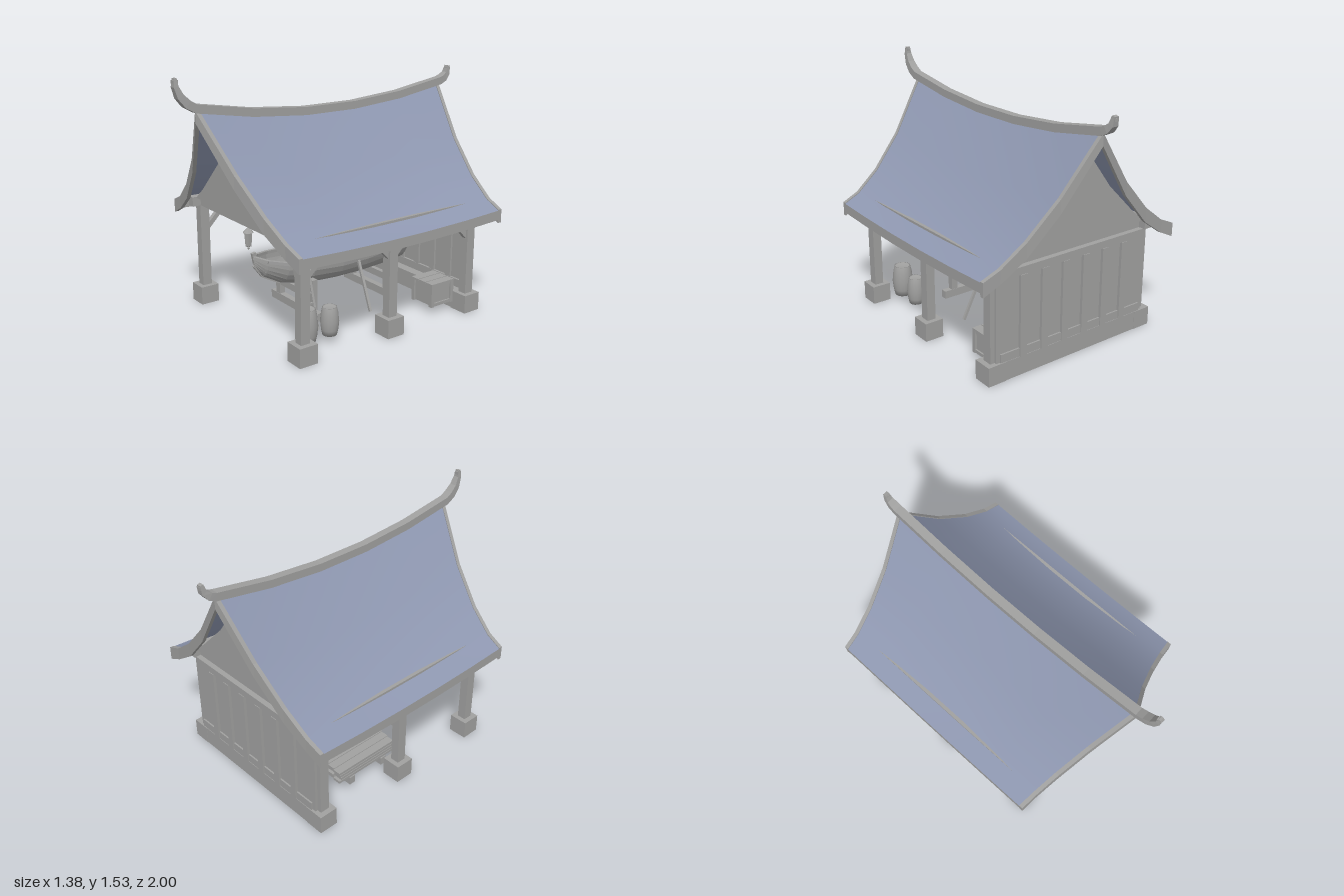
import * as THREE from 'three';

const grey = new THREE.MeshStandardMaterial({ color: 0xa0a09f, side: THREE.DoubleSide });
grey.name = 'weathered timber grey';
const blue = new THREE.MeshStandardMaterial({ color: 0x8e97b0, side: THREE.DoubleSide });
blue.name = 'slate blue';

// Roof rule: half profile at the gable ends, sagging towards the middle
const profile = [[0, 1.34], [0.235, 1.02], [0.43, 0.82], [0.585, 0.705], [0.69, 0.66]];
const frontZ = y => 0.68 + 0.19 * (y - 0.66) / 0.68;
const backZ = y => -0.81 - 0.10 * (y - 0.66) / 0.68;
const steps = [-1, -0.6, -0.2, 0.2, 0.6, 1];
function roofPoint([x, y], t, side = 1) {
  const sag = 0.02 + 0.07 * (y - 0.66) / 0.68;
  const z = THREE.MathUtils.lerp(backZ(y), frontZ(y), (t + 1) / 2);
  return [x * side, y - sag * (1 - t * t), z];
}

// Surface through rows of points, flat shaded unless smooth
function loft(rows, { closed = false, caps = false, smooth = false } = {}) {
  const n = rows[0].length, index = [];
  for (let i = 0; i < rows.length - 1; i++) {
    for (let j = 0; j < (closed ? n : n - 1); j++) {
      const a = i * n + j, b = i * n + (j + 1) % n;
      index.push(a, b, a + n, b, b + n, a + n);
    }
  }
  if (caps) {
    const e = (rows.length - 1) * n;
    for (let j = 1; j < n - 1; j++) index.push(0, j + 1, j, e, e + j, e + j + 1);
  }
  let g = new THREE.BufferGeometry();
  g.setAttribute('position', new THREE.Float32BufferAttribute(rows.flat(2), 3));
  g.setIndex(index);
  if (!smooth) g = g.toNonIndexed();
  g.computeVertexNormals();
  return g;
}

export function createModel() {
  const model = new THREE.Group();
  model.name = 'boathouse';
  const group = name => {
    const g = new THREE.Group();
    g.name = name;
    model.add(g);
    return g;
  };
  const add = (name, geo, parent = model, mat = grey) => {
    const m = new THREE.Mesh(geo, mat);
    m.name = name;
    parent.add(m);
    return m;
  };
  // Box given by its limits on each axis
  const box = (name, x0, x1, y0, y1, z0, z1, parent) => {
    const m = add(name, new THREE.BoxGeometry(x1 - x0, y1 - y0, z1 - z0), parent);
    m.position.set((x0 + x1) / 2, (y0 + y1) / 2, (z0 + z1) / 2);
    return m;
  };
  // Straight bar between two points
  const bar = (name, a, b, w, h, parent) => {
    const A = new THREE.Vector3(...a), B = new THREE.Vector3(...b);
    const m = add(name, new THREE.BoxGeometry(w, h, A.distanceTo(B)), parent);
    m.position.copy(A).add(B).multiplyScalar(0.5);
    m.lookAt(B);
    return m;
  };

  // Roof slopes, eave boards and bargeboards
  const roof = group('roof');
  const drops = [0.065, 0.08, 0.085, 0.075, 0.08];
  for (const s of [-1, 1]) {
    const rows = steps.map(t => profile.map(p => roofPoint(p, t, s)));
    add('roofSlope', loft(rows, { smooth: true }), roof, blue);
    const eave = steps.map(t => {
      const [x, y, z] = roofPoint(profile[4], t, s);
      return [[x, y, z], [x, y - 0.06, z], [x - 0.022 * s, y - 0.055, z], [x - 0.022 * s, y + 0.008, z]];
    });
    add('eaveBoard', loft(eave, { closed: true, caps: true }), roof);
    for (const t of [-1, 1]) {
      const barge = profile.map((p, i) => {
        const [x, y, z] = roofPoint(p, t, s), inner = z - 0.025 * t, low = y - drops[i];
        return [[x, y + 0.004, z], [x, low, z], [x, low, inner], [x, y + 0.004, inner]];
      });
      add('bargeboard', loft(barge, { closed: true, caps: true }), roof);
    }
  }

  // Ridge beam with upswept ends: z, y, half width, half height
  const middle = steps.slice().reverse().map(t => {
    const [, y, z] = roofPoint(profile[0], t);
    return [z, y + 0.018, 0.026, 0.024];
  });
  const ridge = [[0.983, 1.53, 0.012, 0.008], [0.983, 1.485, 0.018, 0.014], [0.96, 1.43, 0.023, 0.02],
    [0.92, 1.387, 0.026, 0.024], ...middle, [-0.945, 1.373, 0.025, 0.022],
    [-0.975, 1.402, 0.02, 0.017], [-0.986, 1.45, 0.014, 0.01]];
  add('ridgeBeam', loft(ridge.map(([z, y, w, h], i) => {
    const a = ridge[Math.max(i - 1, 0)], b = ridge[Math.min(i + 1, ridge.length - 1)];
    const len = Math.hypot(b[0] - a[0], b[1] - a[1]);
    const nz = (b[1] - a[1]) / len * h, ny = -(b[0] - a[0]) / len * h;
    return [[w, y + ny, z + nz], [w, y - ny, z - nz], [-w, y - ny, z - nz], [-w, y + ny, z + nz]];
  }), { closed: true, caps: true }), roof);
  box('frontFinial', -0.013, 0.013, 1.502, 1.52, 0.968, 0.998, roof);
  box('backFinial', -0.013, 0.013, 1.422, 1.44, -0.998, -0.97, roof);

  // Gables
  const half = [[0.52, 0.7], [0.43, 0.772], [0.235, 0.965], [0, 1.275]];
  const gable = new THREE.Shape([...half, ...half.slice(0, 3).reverse().map(([x, y]) => [-x, y])]
    .map(p => new THREE.Vector2(...p)));
  for (const [name, z] of [['frontGable', 0.59], ['backGable', -0.735]]) {
    add(name, new THREE.ExtrudeGeometry(gable, { depth: 0.025, bevelEnabled: false })).position.z = z;
  }
  box('gableHatch', -0.11, 0.105, 0.795, 1.0, 0.614, 0.62);

  // Posts on footings, knee braces, wall plates and tie beams
  const frame = group('timberFrame');
  const postZ = [0.56, -0.06, -0.68];
  for (const s of [-1, 1]) {
    const x = 0.545 * s;
    postZ.forEach((z, i) => {
      box('footing', x - 0.06, x + 0.06, 0, 0.115, z - 0.06, z + 0.06, frame);
      box('post', x - 0.028, x + 0.028, 0.115, 0.65, z - 0.03, z + 0.03, frame);
      for (const d of [-1, 1]) {
        if ((i === 0 && d > 0) || (i === 2 && d < 0)) continue;
        bar('kneeBrace', [x, 0.48, z + 0.015 * d], [x, 0.66, z + 0.19 * d], 0.03, 0.03, frame);
      }
    });
    box('wallPlate', x - 0.026, x + 0.026, 0.645, 0.705, -0.75, 0.64, frame);
  }
  for (const z of postZ) box('tieBeam', -0.57, 0.57, 0.645, 0.692, z - 0.025, z + 0.025, frame);

  // Boarded back wall on a plinth
  const wall = group('backWall');
  box('plinth', -0.6, 0.6, 0.001, 0.114, -0.738, -0.625, wall);
  box('boards', -0.545, 0.545, 0.114, 0.645, -0.725, -0.705, wall);
  box('topRail', -0.52, 0.52, 0.6, 0.645, -0.738, -0.69, wall);
  box('bottomRail', -0.52, 0.52, 0.114, 0.165, -0.735, -0.69, wall);
  for (let i = 0; i < 6; i++) {
    const x = (i - 2.5) * 0.148;
    box('batten', x - 0.023, x + 0.023, 0.114, 0.6, -0.742, -0.692, wall);
  }

  // Rowing boat: z, half width, sheer height, keel height
  const boat = group('boat');
  const stations = [[0.53, 0.005, 0.44, 0.39], [0.47, 0.07, 0.42, 0.31], [0.36, 0.13, 0.4, 0.25],
    [0.2, 0.175, 0.38, 0.215], [0, 0.19, 0.37, 0.205], [-0.2, 0.185, 0.375, 0.202],
    [-0.4, 0.165, 0.39, 0.205], [-0.57, 0.135, 0.41, 0.215]];
  add('hull', loft(stations.map(([z, w, top, keel]) => Array.from({ length: 13 }, (_, k) => {
    const a = Math.PI * k / 12;
    return [-w * Math.cos(a), top - (top - keel) * Math.sin(a), z];
  })), { caps: true }), boat);
  for (let i = 0; i < stations.length - 1; i++) {
    const [z0, w0, y0, k0] = stations[i], [z1, w1, y1, k1] = stations[i + 1];
    for (const s of [-1, 1]) bar('gunwale', [s * w0, y0, z0], [s * w1, y1, z1], 0.02, 0.018, boat);
    bar('keel', [0, k0, z0], [0, k1, z1], 0.014, 0.014, boat);
  }
  bar('stemPost', [0, 0.37, 0.51], [0, 0.47, 0.53], 0.018, 0.025, boat);
  for (const [z, w] of [[0.2, 0.165], [-0.1, 0.18], [-0.38, 0.155]]) {
    box('thwart', -w, w, 0.335, 0.348, z - 0.03, z + 0.03, boat);
  }

  // Cradle and side props
  const cradle = group('cradle');
  for (const z of [0.228, -0.352]) {
    box('sleeper', -0.248, 0.248, 0.045, 0.095, z - 0.02, z + 0.02, cradle);
    box('crossPiece', -0.17, 0.17, 0.155, 0.198, z - 0.015, z + 0.015, cradle);
    for (const s of [-1, 1]) {
      box('upright', s * 0.175 - 0.022, s * 0.175 + 0.022, 0.095, 0.29, z - 0.018, z + 0.018, cradle);
    }
  }
  for (const s of [-1, 1]) bar('prop', [s * 0.185, 0.34, -0.11], [s * 0.32, 0.05, -0.1], 0.016, 0.016, cradle);

  // Ladder leaning on the boat
  const ladder = group('ladder');
  for (const z of [0.305, 0.395]) bar('rail', [0.23, 0.41, z], [0.335, 0.045, z], 0.014, 0.014, ladder);
  for (let i = 0; i < 6; i++) {
    const k = (i + 0.6) / 6.2, x = 0.23 + 0.105 * k, y = 0.41 - 0.365 * k;
    bar('rung', [x, y, 0.305], [x, y, 0.395], 0.011, 0.011, ladder);
  }

  // Barrels
  for (const [z, r, h] of [[0.445, 0.066, 0.197], [0.285, 0.056, 0.17]]) {
    const pts = [[0, 0], [0.76, 0], [0.9, 0.2], [1, 0.5], [0.9, 0.8], [0.76, 1], [0.7, 1], [0.7, 0.96], [0, 0.96]];
    const shape = pts.map(([x, y]) => new THREE.Vector2(x * r, y * h));
    add('barrel', new THREE.LatheGeometry(shape, 16)).position.set(0.42, 0.045, z);
  }

  // Framed crate
  const crate = group('crate');
  box('crateBody', 0.325, 0.485, 0.05, 0.188, -0.612, -0.452, crate);
  for (const x of [0.325, 0.485]) {
    for (const z of [-0.612, -0.452]) box('cornerPost', x - 0.012, x + 0.012, 0.045, 0.19, z - 0.012, z + 0.012, crate);
    for (const y of [0.058, 0.18]) box('edgeRail', x - 0.01, x + 0.01, y - 0.01, y + 0.01, -0.612, -0.452, crate);
  }
  for (let i = 0; i < 3; i++) box('lidSlat', 0.312 + i * 0.064, 0.37 + i * 0.064, 0.185, 0.197, -0.624, -0.44, crate);

  // Timber stack on two bearers
  const stack = group('timberStack');
  for (const z of [-0.1, -0.36]) box('bearer', -0.46, -0.285, 0.045, 0.095, z - 0.02, z + 0.02, stack);
  for (let layer = 0; layer < 4; layer++) {
    for (let i = 0; i < 3; i++) {
      const x = -0.455 + i * 0.056, y = 0.097 + layer * 0.02, shift = ((layer * 2 + i) % 3) * 0.008;
      box('plank', x, x + 0.052, y, y + 0.016, -0.46 + shift, -0.01 + shift, stack);
    }
  }

  // Hanging lantern
  const lantern = group('lantern');
  const lamp = [[0, 0.495], [0.008, 0.505], [0.004, 0.512], [0.02, 0.52], [0.027, 0.6], [0.034, 0.602], [0.006, 0.628], [0, 0.632]];
  const shade = new THREE.LatheGeometry(lamp.map(p => new THREE.Vector2(...p)), 6).toNonIndexed();
  shade.computeVertexNormals();
  add('lanternBody', shade, lantern).position.z = 0.56;
  box('hanger', -0.003, 0.003, 0.62, 0.65, 0.557, 0.563, lantern);

  return model;
}
